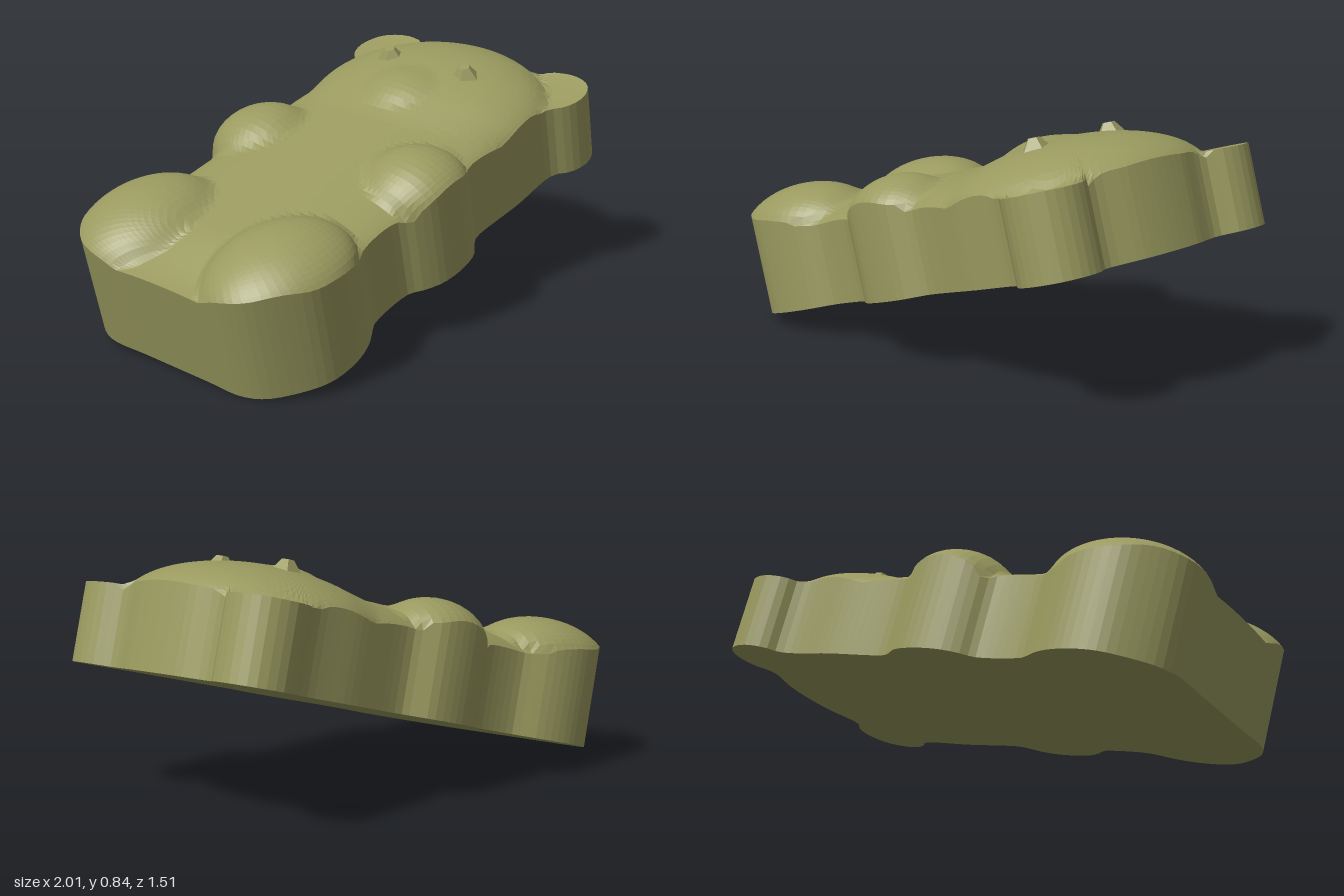
import * as THREE from 'three';

const material = new THREE.MeshStandardMaterial({ color: 0x99995f, flatShading: true });

// Half outline in the base plane, [along, across]: head, ear, arm, leg, cut end
const HALF_OUTLINE = [
  [0.935, 0], [0.925, 0.12], [0.89, 0.265], [0.93, 0.33], [0.94, 0.41], [0.9, 0.49], [0.81, 0.525], [0.73, 0.505],
  [0.68, 0.46], [0.45, 0.455], [0.2, 0.445], [0.17, 0.46], [0.11, 0.5], [0.02, 0.515], [-0.08, 0.505],
  [-0.15, 0.47], [-0.19, 0.44], [-0.38, 0.44], [-0.41, 0.455], [-0.48, 0.495], [-0.58, 0.52], [-0.7, 0.51],
  [-0.8, 0.45], [-0.87, 0.38], [-0.9, 0.3], [-0.9, 0.15], [-0.9, 0],
];

// Mounds that shape the upper side, mirrored across the middle
const MOUNDS = [
  { u: 0.53, v: 0, ru: 0.43, rv: 0.48, wall: 0.25, top: 0.43 }, // head
  { u: 0.42, v: 0, ru: 0.15, rv: 0.16, wall: 0.36, top: 0.445 }, // snout
  { u: 0.8, v: 0.395, ru: 0.15, rv: 0.14, wall: 0.285, top: 0.275 }, // ears
  { u: 0.01, v: 0.345, ru: 0.2, rv: 0.195, wall: 0.29, top: 0.425 }, // arms
  { u: -0.64, v: 0.3, ru: 0.29, rv: 0.235, wall: 0.31, top: 0.46 }, // legs
];

// The larger of two heights with a soft crease
function softMax(a, b) {
  const k = 0.03;
  return Math.max(a, b) + (k / 4) * Math.max(0, 1 - Math.abs(a - b) / k) ** 2;
}

// Height of the upper side above the flat back
function heightAt(u, v) {
  const side = Math.abs(v);
  // Torso: a long dome, lower towards the cut end
  const crest = 0.385 - 0.045 * THREE.MathUtils.smoothstep(-u, 0.6, 0.9);
  let h = 0.26 + (crest - 0.26) * Math.sqrt(Math.max(0, 1 - (v / 0.46) ** 2));
  // Past the neck the torso fades under the head
  h -= 0.12 * THREE.MathUtils.smoothstep(u, 0.3, 0.9);
  for (const m of MOUNDS) {
    const r = Math.hypot((u - m.u) / m.ru, (side - m.v) / m.rv);
    const y = r < 1 ? m.wall + (m.top - m.wall) * (1 - r * r) ** 0.55 : m.wall - 0.4 * (r - 1);
    h = softMax(h, y);
  }
  return Math.max(h, 0.24);
}

// One moulded skin: rings run from the outline in to a line along the middle
function bodyGeometry(count, steps) {
  const back = HALF_OUTLINE.slice(1, -1).reverse().map(([u, v]) => [u, -v]);
  const pts = [...HALF_OUTLINE, ...back].map(([u, v]) => new THREE.Vector3(u, 0, v));
  const rim = new THREE.CatmullRomCurve3(pts, true, 'centripetal').getSpacedPoints(count).slice(0, count);

  // Ring scale and whether it lies on the upper side
  const rings = [[0, false], [1, false]];
  for (let k = 0; k <= steps; k++) {
    const t = k / steps;
    rings.push([0.5 * Math.cos(t * Math.PI / 2) + 0.5 * (1 - t), true]);
  }
  const pos = [];
  const idx = [];
  rings.forEach(([s, upper], r) => {
    rim.forEach((p, i) => {
      const mid = THREE.MathUtils.clamp(p.x * 0.9, -0.6, 0.55);
      const u = mid + (p.x - mid) * s;
      const v = p.z * s;
      pos.push(u, upper ? heightAt(u, v) : 0, v);
      if (r === 0) return;
      const j = (i + 1) % count;
      const a = (r - 1) * count;
      const b = r * count;
      idx.push(a + i, b + i, a + j, a + j, b + i, b + j);
    });
  });
  const geo = new THREE.BufferGeometry();
  geo.setAttribute('position', new THREE.Float32BufferAttribute(pos, 3));
  geo.setIndex(idx);
  geo.computeVertexNormals();
  return geo;
}

export function createModel() {
  const bear = new THREE.Group();
  bear.name = 'bear';

  const body = new THREE.Mesh(bodyGeometry(180, 22), material);
  body.name = 'body';
  bear.add(body);

  // Small faceted eyes
  for (const [name, s] of [['leftEye', 1], ['rightEye', -1]]) {
    const eye = new THREE.Mesh(new THREE.CylinderGeometry(0.022, 0.056, 0.045, 5), material);
    eye.name = name;
    eye.position.set(0.575, 0.425, 0.175 * s);
    bear.add(eye);
  }

  // Tilt: long axis, outward normal and width of the lying figure
  const normal = new THREE.Vector3(-0.24, 1, 0.135).normalize();
  const across = new THREE.Vector3(0.91, 0.262, -0.323).cross(normal).normalize();
  const along = new THREE.Vector3().crossVectors(normal, across);
  bear.quaternion.setFromRotationMatrix(new THREE.Matrix4().makeBasis(along, normal, across));

  const model = new THREE.Group();
  model.name = 'lyingBear';
  model.add(bear);

  // Centre on the ground
  const box = new THREE.Box3().setFromObject(model, true);
  const mid = box.getCenter(new THREE.Vector3());
  bear.position.set(-mid.x, -box.min.y, -mid.z);
  return model;
}
